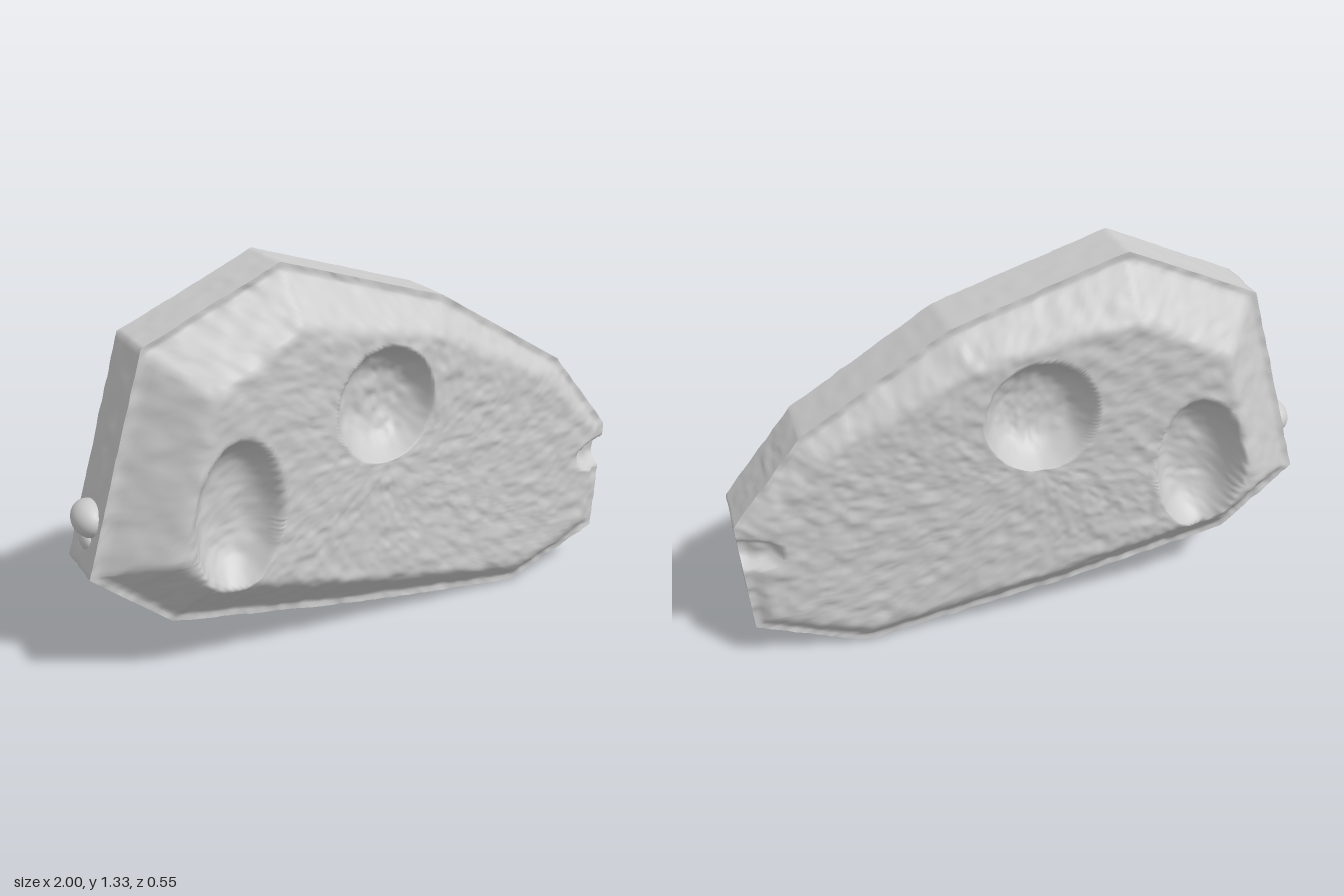
import * as THREE from 'three';

// Convex outline of the slab, counter-clockwise
const OUTLINE = [
  [-0.99, 0.42], [-0.73, 0.205], [-0.12, 0.1], [0.6, 0.005], [0.965, 0.15],
  [0.995, 0.56], [0.76, 0.85], [0.27, 1.15], [-0.32, 1.335], [-0.78, 1.13],
];
const CENTRE = [0, 0.65];
const PER_EDGE = 36, RINGS = 60, RIM = 0.103;

// Points evenly spread along every outline edge
const border = OUTLINE.flatMap(([x, y], i) => {
  const [nx, ny] = OUTLINE[(i + 1) % OUTLINE.length];
  return Array.from({ length: PER_EDGE }, (_, k) => {
    const t = k / PER_EDGE;
    return [x + (nx - x) * t, y + (ny - y) * t];
  });
});

// Smooth value noise in -0.5..0.5
function hash(i, j) {
  const s = Math.sin(i * 127.1 + j * 311.7) * 43758.5453;
  return s - Math.floor(s) - 0.5;
}
function noise(x, y) {
  const i = Math.floor(x), j = Math.floor(y);
  const u = THREE.MathUtils.smoothstep(x - i, 0, 1);
  const v = THREE.MathUtils.smoothstep(y - j, 0, 1);
  const mix = THREE.MathUtils.lerp;
  return mix(mix(hash(i, j), hash(i + 1, j), u), mix(hash(i, j + 1), hash(i + 1, j + 1), u), v);
}

// Distance inward from the nearest outline edge
function inset(x, y) {
  return Math.min(...OUTLINE.map(([ax, ay], i) => {
    const [bx, by] = OUTLINE[(i + 1) % OUTLINE.length];
    const dx = bx - ax, dy = by - ay;
    return (dx * (y - ay) - dy * (x - ax)) / Math.hypot(dx, dy);
  }));
}

// Depth of a tilted oval hollow
function hollow(x, y, cx, cy, rx, ry, depth, tilt = 0) {
  const dx = x - cx, dy = y - cy, c = Math.cos(tilt), s = Math.sin(tilt);
  const r = Math.hypot((dx * c + dy * s) / rx, (dy * c - dx * s) / ry);
  return r < 1 ? depth * (1 - r ** 4) : 0;
}

// Half thickness: flat rim, bevel, tapering cheek, then the hollows
function halfDepth(x, y, seed) {
  const d = Math.max(0, inset(x, y));
  const bevel = RIM + Math.max(0, d - 0.025) * 1.0;
  const cheek = Math.min(0.272, 0.27 - (x + 0.65) * 0.088);
  const k = 0.025, blend = Math.max(k - Math.abs(bevel - cheek), 0) / k;
  let z = Math.min(bevel, cheek) - blend * blend * k * 0.25;
  z += 0.009 * noise(x * 24 + seed, y * 24) + 0.005 * noise(x * 50, y * 50 + seed);
  z -= hollow(x, y, 0, 0.845, 0.185, 0.195, 0.125);
  z -= hollow(x, y, -0.55, 0.59, 0.15, 0.255, 0.13, -0.08);
  // Nostril runs out through the edge
  z -= hollow(Math.min(x, 0.925), y, 0.925, 0.452, 0.07, 0.055, 0.05);
  return z;
}

// Joins rows of equal length into a smooth surface; rows close on themselves
function loft(rows, flip) {
  const n = rows[0].length, index = [];
  for (let r = 0; r + 1 < rows.length; r++) {
    for (let i = 0; i < n; i++) {
      const a = r * n + i, b = r * n + (i + 1) % n, c = a + n, d = b + n;
      index.push(...(flip ? [a, c, b, b, c, d] : [a, b, c, b, d, c]));
    }
  }
  const g = new THREE.BufferGeometry();
  g.setAttribute('position', new THREE.Float32BufferAttribute(rows.flat(2), 3));
  g.setIndex(index);
  g.computeVertexNormals();
  return g;
}

export function createModel() {
  const group = new THREE.Group();
  const material = new THREE.MeshStandardMaterial({ color: 0xcccccc, roughness: 0.9 });
  const add = (name, geometry) => {
    const mesh = new THREE.Mesh(geometry, material);
    mesh.name = name;
    group.add(mesh);
    return mesh;
  };

  // Front and back faces, as rings from the rim to the centre
  const seeds = { 1: 3, [-1]: 47 };
  for (const side of [1, -1]) {
    const rows = Array.from({ length: RINGS + 1 }, (_, r) => {
      const t = 1 - Math.min(r / RINGS, 0.9995);
      return border.map(([bx, by]) => {
        const x = CENTRE[0] + (bx - CENTRE[0]) * t;
        const y = CENTRE[1] + (by - CENTRE[1]) * t;
        return [x, y, side * halfDepth(x, y, seeds[side])];
      });
    });
    add(side > 0 ? 'frontFace' : 'backFace', loft(rows, side < 0));
  }

  // Edge band between the two faces, slightly uneven
  const STEPS = 8;
  const band = Array.from({ length: STEPS + 1 }, (_, k) => {
    const t = k / STEPS;
    return border.map(([x, y], i) => {
      const front = halfDepth(x, y, seeds[1]), back = -halfDepth(x, y, seeds[-1]);
      const dent = 1 + 0.008 * noise(i * 0.5, k * 0.7) * Math.sin(Math.PI * t);
      return [x * dent, CENTRE[1] + (y - CENTRE[1]) * dent, back + (front - back) * t];
    });
  });
  add('edgeBand', loft(band, false));

  // Rounded knobs on the rear edge
  const knob = add('rearKnob', new THREE.SphereGeometry(1, 32, 20));
  knob.scale.set(0.055, 0.06, 0.08);
  knob.position.set(-0.945, 0.58, 0);
  const lowerKnob = add('lowerRearKnob', new THREE.SphereGeometry(1, 24, 16));
  lowerKnob.scale.set(0.025, 0.04, 0.05);
  lowerKnob.position.set(-0.955, 0.51, 0);

  return group;
}
